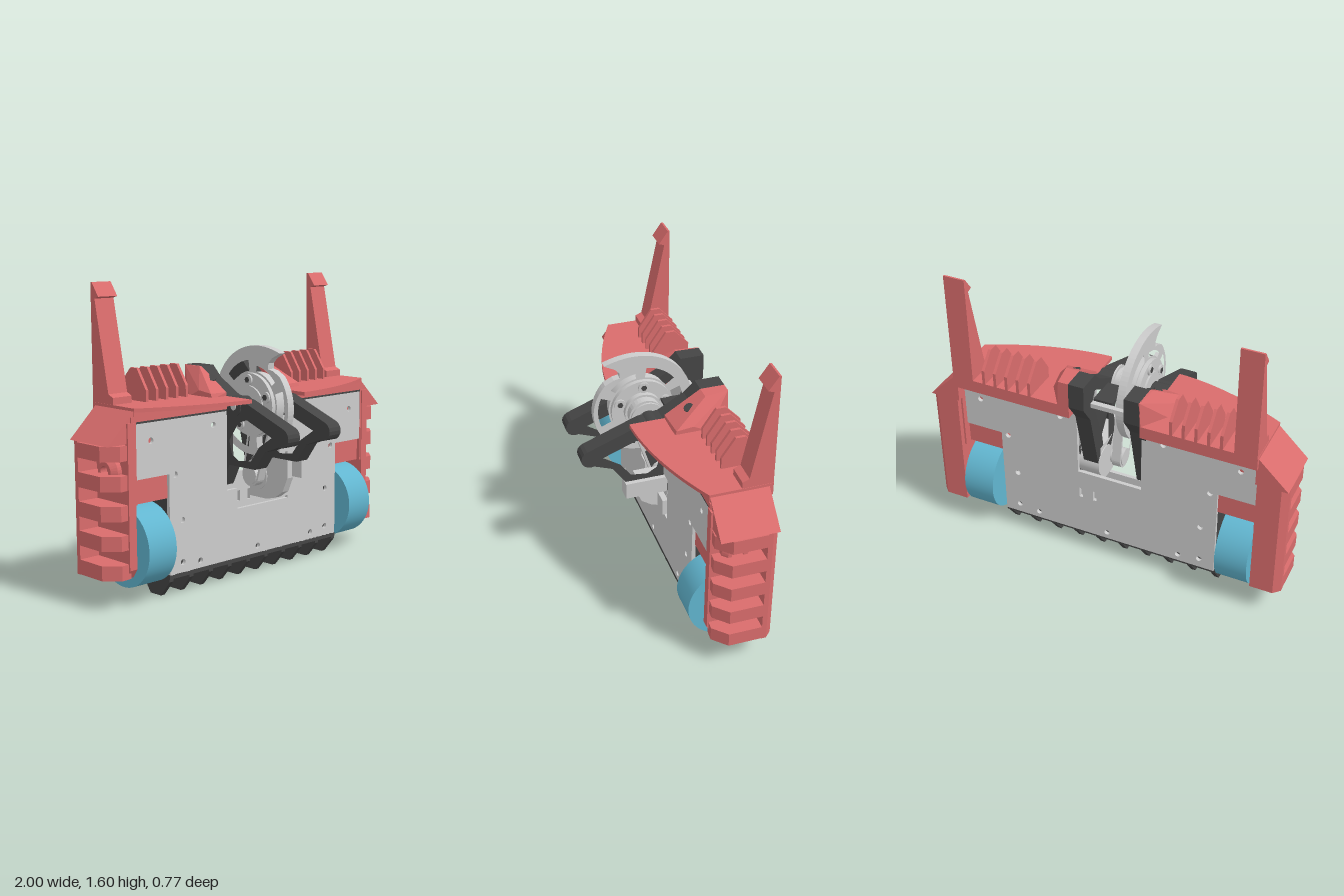
import * as THREE from 'three';
import { ConvexGeometry } from 'three/addons/geometries/ConvexGeometry.js';

const mat = (color) => new THREE.MeshStandardMaterial({ color });
const RED = mat(0xd96c6c), DARK = mat(0x454545), GREY = mat(0xcccccc), BLUE = mat(0x62b6d0);
const V = (x, y) => new THREE.Vector2(x, y);

export function createModel() {
  const root = new THREE.Group();
  const add = (name, geo, material) => {
    const m = new THREE.Mesh(geo, material);
    m.name = name;
    root.add(m);
    return m;
  };
  const box = (name, m, x0, x1, y0, y1, z0, z1) => add(name,
    new THREE.BoxGeometry(Math.abs(x1 - x0), y1 - y0, z1 - z0)
      .translate((x0 + x1) / 2, (y0 + y1) / 2, (z0 + z1) / 2), m);
  const extrude = (pts, depth, holes = []) => {
    const s = new THREE.Shape(pts);
    s.holes = holes.map((h) => new THREE.Path(h));
    return new THREE.ExtrudeGeometry(s, { depth, bevelEnabled: false });
  };
  // profile of (z, y) points swept from x0 to x1
  const side = (name, m, pts, x0, x1, holes = []) => {
    const f = (l) => l.map(([z, y]) => V(-z, y));
    return add(name, extrude(f(pts), Math.abs(x1 - x0), holes.map(f))
      .rotateY(Math.PI / 2).translate(Math.min(x0, x1), 0, 0), m);
  };
  // plan of (x, z) points raised from y0 to y1
  const plan = (name, m, pts, y0, y1) => add(name,
    extrude(pts.map(([x, z]) => V(x, -z)), y1 - y0).rotateX(-Math.PI / 2).translate(0, y0, 0), m);
  // cylinder lying along x
  const rod = (name, m, r, x0, x1, y, z, n = 32, r2 = r) => add(name,
    new THREE.CylinderGeometry(r2, r, x1 - x0, n).rotateZ(-Math.PI / 2).translate((x0 + x1) / 2, y, z), m);
  const ring = (cx, cy, r, n = 16) => Array.from({ length: n }, (_, i) =>
    [cx + r * Math.cos(i / n * 2 * Math.PI), cy + r * Math.sin(i / n * 2 * Math.PI)]);

  // hollow chassis: two drilled plates with a slot open at the top
  const bolts = [[-0.32, 0.86], [0.26, 0.86], [0, 0.16]];
  for (const s of [-1, 1]) bolts.push([s * 0.735, 0.83], [s * 0.58, 0.637], [s * 0.535, 0.395],
    [s * 0.535, 0.175], [s * 0.415, 0.16]);
  const plate = (name, slot, z, extra = []) => {
    const outline = [[-0.62, 0.12], [0.62, 0.12], [0.62, 0.645], [0.83, 0.645], [0.83, 0.925],
      ...slot, [-0.83, 0.925], [-0.83, 0.645], [-0.62, 0.645]];
    const f = (l) => l.map(([x, y]) => V(x, y));
    add(name, extrude(f(outline), 0.02, [...bolts.map(([x, y]) => ring(x, y, 0.016)), ...extra].map(f))
      .translate(0, 0, z), GREY);
  };
  plate('frontPlate', [[0.165, 0.925], [0.165, 0.65], [0.23, 0.65], [0.23, 0.39], [-0.15, 0.39],
    [-0.15, 0.5], [-0.225, 0.5], [-0.225, 0.925]], -0.078);
  const slit = (x, y) => [[x - 0.01, y], [x + 0.01, y], [x + 0.01, y + 0.06], [x - 0.01, y + 0.06]];
  plate('backPlate', [[0.165, 0.925], [0.165, 0.53], [-0.2, 0.53], [-0.2, 0.925]], -0.3,
    [slit(0.15, 0.36), slit(0.07, 0.36)]);
  box('bottomBar', DARK, -0.625, 0.625, 0.1, 0.122, -0.29, -0.058);

  // row of bottom teeth
  for (let i = 0; i < 10; i++) {
    const x = -0.61 + i * 0.1355;
    side('bottomTooth', DARK, [[-0.063, 0.11], [-0.063, 0.085], [-0.135, 0], [-0.215, 0],
      [-0.277, 0.085], [-0.277, 0.11]], x - 0.013, x + 0.013);
  }

  for (const s of [-1, 1]) {
    // wheel, axle and chassis wall
    const wheelProfile = [V(0, -0.087), V(0.2, -0.087), V(0.208, -0.08), V(0.208, 0.08), V(0.2, 0.087), V(0, 0.087)];
    const wheelGeo = new THREE.ExtrudeGeometry(new THREE.Shape().absarc(0, 0, 0.2, 0, Math.PI * 2),
      { depth: 0.16, bevelSize: 0.007, bevelThickness: 0.007, bevelSegments: 1, curveSegments: 32 });
    wheelGeo.dispose();
    add('wheel', new THREE.LatheGeometry(wheelProfile, 56).toNonIndexed(), BLUE);
    const wheel = root.children[root.children.length - 1];
    wheel.geometry = new THREE.CylinderGeometry(0.208, 0.208, 0.175, 56).rotateZ(Math.PI / 2);
    wheel.position.set(s * 0.738, 0.288, -0.18);
    rod('axle', GREY, 0.016, Math.min(s * 0.55, s * 0.85), Math.max(s * 0.55, s * 0.85), 0.288, -0.18, 16);
    box('chassisWall', DARK, s * 0.605, s * 0.62, 0.12, 0.53, -0.28, -0.078);

    // side pod: core, back rail, ribs and bolt boss
    side('podCore', RED, [[-0.05, 0.2], [-0.08, 0.155], [-0.33, 0.155], [-0.33, 0.93], [-0.05, 0.93]], s * 0.84, s * 0.885);
    plan('podBackRail', RED, [[s * 0.84, -0.3], [s, -0.3], [s, -0.325], [s * 0.965, -0.36], [s * 0.84, -0.36]], 0.155, 0.83);
    for (let i = 0; i < 5; i++) {
      const y = 0.157 + i * 0.148;
      plan('podRib', RED, [[s * 0.87, -0.06], [s * 0.93, -0.055], [s, -0.125], [s, -0.31], [s * 0.87, -0.31]],
        y, y + 0.076);
    }
    add('podShoulder', extrude([[0.83, 0.83], [1, 0.83], [0.84, 0.985], [0.83, 0.985]]
      .map(([x, y]) => V(s * x, y)), 0.3).translate(0, 0, -0.36), RED);
    const boss = new THREE.LatheGeometry([V(0.03, 0), V(0.075, 0), V(0.075, 0.025), V(0.05, 0.05),
      V(0.03, 0.05), V(0.03, 0.01), V(0, 0.01)], 32).rotateZ(-s * Math.PI / 2);
    const bossMat = RED.clone();
    bossMat.side = THREE.DoubleSide;
    bossMat.flatShading = true;
    add('podBoss', boss, bossMat).position.set(s * 0.885, 0.685, -0.175);

    // frame pieces around the wheel
    box('wheelShelf', RED, s * 0.62, s * 0.86, 0.52, 0.645, -0.285, -0.075);
    box('podLink', RED, s * 0.83, s * 0.86, 0.52, 0.96, -0.33, -0.055);
    box('boltBlock', RED, s * 0.68, s * 0.79, 0.78, 0.9, -0.27, -0.09);

    // top deck and curved visor
    const inner = s > 0 ? 0.165 : -0.225;
    box('topDeck', RED, inner, s * 0.84, 0.932, 0.985, -0.38, -0.055);
    box('darkTrim', DARK, inner, s * 0.835, 0.922, 0.935, -0.3, -0.056);
    const curve = new THREE.QuadraticBezierCurve(V(s * 0.84, -0.055), V(s * 0.5, 0.118), V(inner, 0.128));
    plan('visor', RED, [[inner, -0.38], [s * 0.84, -0.38], ...curve.getPoints(16).map((p) => [p.x, p.y])], 0.98, 1.0);

    // cooling fins
    for (let i = 0; i < 5; i++) {
      const x = s * (0.39 + i * 0.066);
      side('fin', RED, [[-0.18, 0.99], [-0.18, 1.06], [-0.25, 1.165], [-0.3, 1.165], [-0.38, 1.08], [-0.38, 0.99]],
        x - 0.008, x + 0.008);
    }

    // tall hooked post
    side('post', RED, [[-0.22, 0.99], [-0.22, 1.035], [-0.255, 1.05], [-0.35, 1.515], [-0.32, 1.525],
      [-0.37, 1.595], [-0.38, 1.595], [-0.38, 0.935], [-0.36, 0.935], [-0.36, 0.99]], s * 0.72, s * 0.838);

    // sloped bracket beside each arm
    const b = [];
    for (const [x, y, z] of [[0.325, 0.99, -0.06], [0.325, 1.02, -0.07], [0.325, 0.99, -0.24], [0.23, 0.99, -0.38],
      [0.325, 1.03, -0.16], [0.24, 1.14, -0.25], [0.22, 1.14, -0.38]]) b.push(new THREE.Vector3(s * x, y, z));
    for (const [y, z] of [[0.99, -0.06], [1.02, -0.06], [1.14, -0.25], [1.14, -0.38], [0.99, -0.38]])
      b.push(new THREE.Vector3(inner, y, z));
    add('armBracket', new ConvexGeometry(b), RED);
    const screw = add('bracketScrew', new THREE.CylinderGeometry(0.026, 0.026, 0.03, 20), DARK);
    screw.position.set(s * 0.23, 1.075, -0.17);
    screw.rotation.set(0.45, 0, -s * 0.25);

    // dark truss arm holding the disc
    const x0 = s > 0 ? 0.08 : -0.225;
    const nose = Array.from({ length: 9 }, (_, i) => {
      const a = (-110 + i * 22.5) * Math.PI / 180;
      return [0.335 + 0.05 * Math.cos(a), 0.825 + 0.05 * Math.sin(a)];
    });
    side('discArm', DARK, [[-0.04, 0.64], [0.15, 0.64], [0.22, 0.74], ...nose, [0.06, 0.985], [-0.05, 1.0],
      [-0.19, 1.08], [-0.25, 1.14], [-0.38, 1.14], [-0.38, 1.0], [-0.31, 0.9], [-0.22, 0.52], [-0.1, 0.52]],
    x0, x0 + 0.085, [
      [[0.27, 0.82], [0.09, 0.89], [0.03, 0.87], [-0.04, 0.77], [-0.02, 0.7], [0.03, 0.67], [0.12, 0.68], [0.18, 0.76]],
      [[-0.08, 0.9], [-0.12, 0.97], [-0.25, 1.05], [-0.28, 1.0], [-0.2, 0.78]],
      [[-0.1, 0.83], [-0.18, 0.72], [-0.16, 0.6], [-0.1, 0.62]]]);
    rod('armBearing', DARK, 0.05, x0 - 0.006, x0 + 0.091, 0.95, 0, 28);
    rod('bearingCap', GREY, 0.018, x0 - 0.01, x0 + 0.095, 0.95, 0, 16);
  }

  // spinning disc: spiral rim with one hooked tooth and arc windows
  const polar = (r, deg) => [r * Math.cos(deg * Math.PI / 180), 0.95 + r * Math.sin(deg * Math.PI / 180)];
  const rim = [];
  for (let i = 0; i <= 72; i++) {
    const t = i / 72;
    rim.push(polar(0.25 + 0.05 * (1 - t) + 0.04 * Math.exp(-t * 12), 55 + t * 345));
  }
  rim.push(polar(0.235, 52), polar(0.222, 60), polar(0.25, 63), polar(0.285, 61));
  const windows = [];
  for (let k = 0; k < 6; k++) {
    const w = [];
    for (let i = 0; i <= 8; i++) w.push(polar(k === 0 ? 0.205 : 0.232, 38 + k * 60 + i * 5.5));
    for (let i = 8; i >= 0; i--) w.push(polar(0.175, 38 + k * 60 + i * 5.5));
    windows.push(w);
  }
  side('spinningDisc', GREY, rim, -0.092, -0.05, windows);
  rod('discHub', GREY, 0.165, -0.115, -0.027, 0.95, 0, 40);
  rod('hubBoss', GREY, 0.1, -0.125, 0, 0.95, 0, 32);
  for (let k = 0; k < 5; k++) {
    const [z, y] = polar(0.13, 22 + k * 72);
    rod('hubBolt', GREY, 0.03, -0.125, -0.017, y, z, 20);
    rod('hubBoltSocket', DARK, 0.016, -0.128, -0.014, y, z, 6);
  }
  rod('discShaft', DARK, 0.035, -0.2, 0.14, 0.95, 0, 24);
  rod('drivePulleyFlange', GREY, 0.09, 0.035, 0.045, 0.95, 0, 32);
  rod('drivePulley', GREY, 0.075, -0.02, 0.065, 0.95, 0, 32);
  rod('drivePulleyCollar', GREY, 0.09, 0.062, 0.072, 0.95, 0, 32);

  // belt loop down to the motor
  const loop = (r, r2) => {
    const top = { y: 0.95, z: 0 }, low = { y: 0.545, z: -0.1 }, pts = [];
    for (let i = 0; i <= 16; i++) pts.push([top.z + r * Math.cos(i / 16 * Math.PI - 0.24), top.y + r * Math.sin(i / 16 * Math.PI - 0.24)]);
    for (let i = 16; i <= 32; i++) pts.push([low.z + r2 * Math.cos(i / 16 * Math.PI - 0.24), low.y + r2 * Math.sin(i / 16 * Math.PI - 0.24)]);
    return pts;
  };
  side('driveBelt', GREY, loop(0.088, 0.06), -0.015, 0.035, [loop(0.075, 0.047)]);
  rod('motorPulley', GREY, 0.048, -0.02, 0.05, 0.545, -0.1, 24);

  // motor and its mount
  rod('motor', GREY, 0.085, 0.075, 0.2, 0.53, -0.15, 32);
  side('motorMount', GREY, [[0.085, 0.64], [0.085, 0.54], [0.05, 0.46], [-0.01, 0.42], [-0.07, 0.405],
    [-0.2, 0.405], [-0.2, 0.64]], 0.08, 0.125);
  box('motorBlock', GREY, 0.115, 0.19, 0.548, 0.64, -0.1, 0.155);
  box('motorFoot', GREY, 0.12, 0.21, 0.41, 0.5, -0.2, -0.04);
  box('motorBracket', DARK, 0.19, 0.215, 0.41, 0.6, -0.22, -0.07);

  // guard plate and tie rod between the arms
  box('beltGuard', DARK, -0.02, 0.085, 0.985, 1.0, -0.26, -0.1);
  box('tieBar', GREY, -0.15, 0.085, 0.975, 1.0, -0.305, -0.275);
  return root;
}
